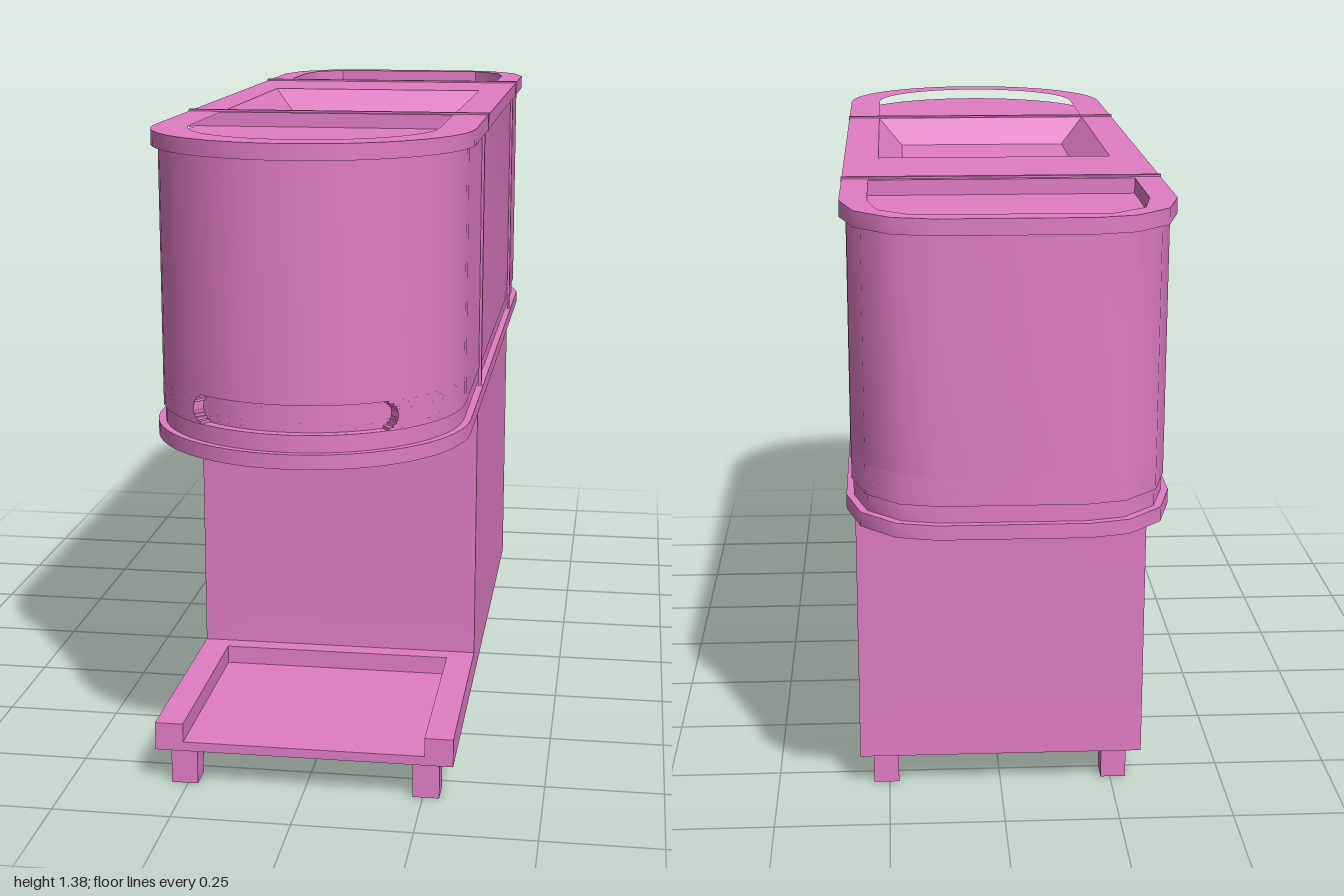
import * as THREE from 'three';
import { toCreasedNormals } from 'three/addons/utils/BufferGeometryUtils.js';

const material = new THREE.MeshStandardMaterial({ color: 0xe07cc4 });
const HALF = 0.33, ARC_Z = 0.67, BACK_Z = -0.8;

// points [x, z] on the round front end
function arc(r, from, to, n) {
  const pts = [];
  for (let i = 0; i <= n; i++) {
    const a = from + (to - from) * i / n;
    pts.push([r * Math.sin(a), ARC_Z + r * Math.cos(a)]);
  }
  return pts;
}

// faceted back corners, mirrored from one side to the other
function backEnd(inset) {
  const half = [[0.33, -0.8], [0.30, -0.91], [0.23, -0.98], [0.15, -1.0]]
    .map(([x, z]) => [x * (HALF - inset) / HALF, BACK_Z + (z - BACK_Z) * (0.2 - inset) / 0.2]);
  return [...half.map(([x, z]) => [-x, z]), ...half.reverse()];
}

// plan of the long body; slotWidth cuts a shallow pocket into the front
function outline(inset, slotWidth = 0) {
  const r = HALF - inset, q = Math.PI / 2;
  if (!slotWidth) return [...arc(r, q, -q, 32), ...backEnd(inset)];
  const a = Math.asin(slotWidth / r);
  return [...arc(r, q, a, 9), ...arc(r - 0.025, a, -a, 14), ...arc(r, -a, -q, 9), ...backEnd(inset)];
}

const toPoints = (pts) => pts.map(([x, z]) => new THREE.Vector2(x, -z));

export function createModel() {
  const model = new THREE.Group();

  function add(name, geometry, mat = material) {
    const mesh = new THREE.Mesh(geometry, mat);
    mesh.name = name;
    model.add(mesh);
    return mesh;
  }
  // horizontal slab from a plan, between two heights
  function slab(name, plan, y0, y1, holes = []) {
    const shape = new THREE.Shape(toPoints(plan));
    holes.forEach((h) => shape.holes.push(new THREE.Path(toPoints(h))));
    const g = new THREE.ExtrudeGeometry(shape, { depth: y1 - y0, bevelEnabled: false });
    g.rotateX(-Math.PI / 2).translate(0, y0, 0);
    add(name, toCreasedNormals(g, 0.7));
  }
  // box given by its limits
  function block(name, x0, x1, y0, y1, z0, z1) {
    const g = new THREE.BoxGeometry(x1 - x0, y1 - y0, z1 - z0);
    add(name, g.translate((x0 + x1) / 2, (y0 + y1) / 2, (z0 + z1) / 2));
  }

  // recess plans in the top deck
  const well = [[-0.255, -0.28], [0.255, -0.28], [0.255, 0.35], [-0.255, 0.35]];
  const wellFloor = [[-0.2, -0.23], [0.2, -0.23], [0.2, 0.30], [-0.2, 0.30]];
  const frontRecess = [...arc(0.255, Math.PI / 2, -Math.PI / 2, 24), [-0.255, 0.39], [0.255, 0.39]];
  const backRecess = [[0.275, -0.57], [0.275, -0.8], [0.255, -0.9], [0.19, -0.955],
    [-0.19, -0.955], [-0.255, -0.9], [-0.275, -0.8], [-0.275, -0.57]];

  // upper body
  slab('lowerRim', outline(0.003), 0.745, 0.775);
  slab('lowerSkirt', outline(0.018), 0.775, 0.81);
  slab('bodyWall', outline(0.014), 0.87, 1.343, [well]);
  slab('topDeck', outline(0), 1.343, 1.375, [well, frontRecess, backRecess]);

  // front slot with rounded ends, built in thin layers
  const layers = 10, slotHeight = 0.06;
  for (let i = 0; i < layers; i++) {
    const dy = ((i + 0.5) / layers - 0.5) * slotHeight;
    const width = 0.175 + Math.sqrt(0.0009 - dy * dy);
    const y = 0.81 + i * slotHeight / layers;
    slab('slotLayer', outline(0.014, width), y, y + slotHeight / layers);
  }

  // sloped well in the middle of the deck
  const wellGeo = new THREE.BufferGeometry();
  const corners = [...well.map(([x, z]) => [x, 1.375, z]), ...wellFloor.map(([x, z]) => [x, 1.315, z])];
  wellGeo.setAttribute('position', new THREE.Float32BufferAttribute(corners.flat(), 3));
  const index = [4, 6, 5, 4, 7, 6];
  for (let i = 0; i < 4; i++) {
    const j = (i + 1) % 4;
    index.push(i, i + 4, j, j, i + 4, j + 4);
  }
  wellGeo.setIndex(index);
  const flatWell = wellGeo.toNonIndexed();
  flatWell.computeVertexNormals();
  const wellMaterial = material.clone();
  wellMaterial.side = THREE.DoubleSide;
  add('deckWell', flatWell, wellMaterial);

  // panel seams around the body
  for (const z of [0.362, -0.55]) {
    block('deckSeam', -0.331, 0.331, 1.34, 1.379, z - 0.006, z + 0.006);
    for (const s of [-1, 1]) {
      block('sideSeam', s * 0.32 - 0.003, s * 0.32 + 0.003, 0.775, 1.345, z - 0.007, z + 0.007);
    }
  }

  // pedestal with flared top, drawn from the side and extruded across
  const side = new THREE.Shape();
  side.moveTo(-0.36, 0.08);
  side.lineTo(-0.36, 0.70);
  side.quadraticCurveTo(-0.36, 0.747, -0.41, 0.747);
  side.lineTo(0.66, 0.747);
  side.quadraticCurveTo(0.585, 0.747, 0.585, 0.68);
  side.lineTo(0.585, 0.08);
  const pedestal = new THREE.ExtrudeGeometry(side, { depth: 0.63, bevelEnabled: false, curveSegments: 10 });
  pedestal.translate(0, 0, -0.315).rotateY(Math.PI / 2);
  add('pedestal', toCreasedNormals(pedestal, 0.6));

  // step tray, open at the front
  block('trayFloor', -0.315, 0.315, 0.08, 0.10, 0.35, 0.855);
  block('trayBackRim', -0.255, 0.255, 0.10, 0.14, 0.355, 0.40);
  for (const s of [-1, 1]) {
    block('traySideRim', s * 0.285 - 0.03, s * 0.285 + 0.03, 0.10, 0.14, 0.355, 0.855);
    // feet
    for (const z of [0.81, 0.42, 0.105, -0.213, -0.525]) {
      block('foot', s * 0.257 - 0.028, s * 0.257 + 0.028, 0, 0.082, z - 0.028, z + 0.028);
    }
  }
  return model;
}
